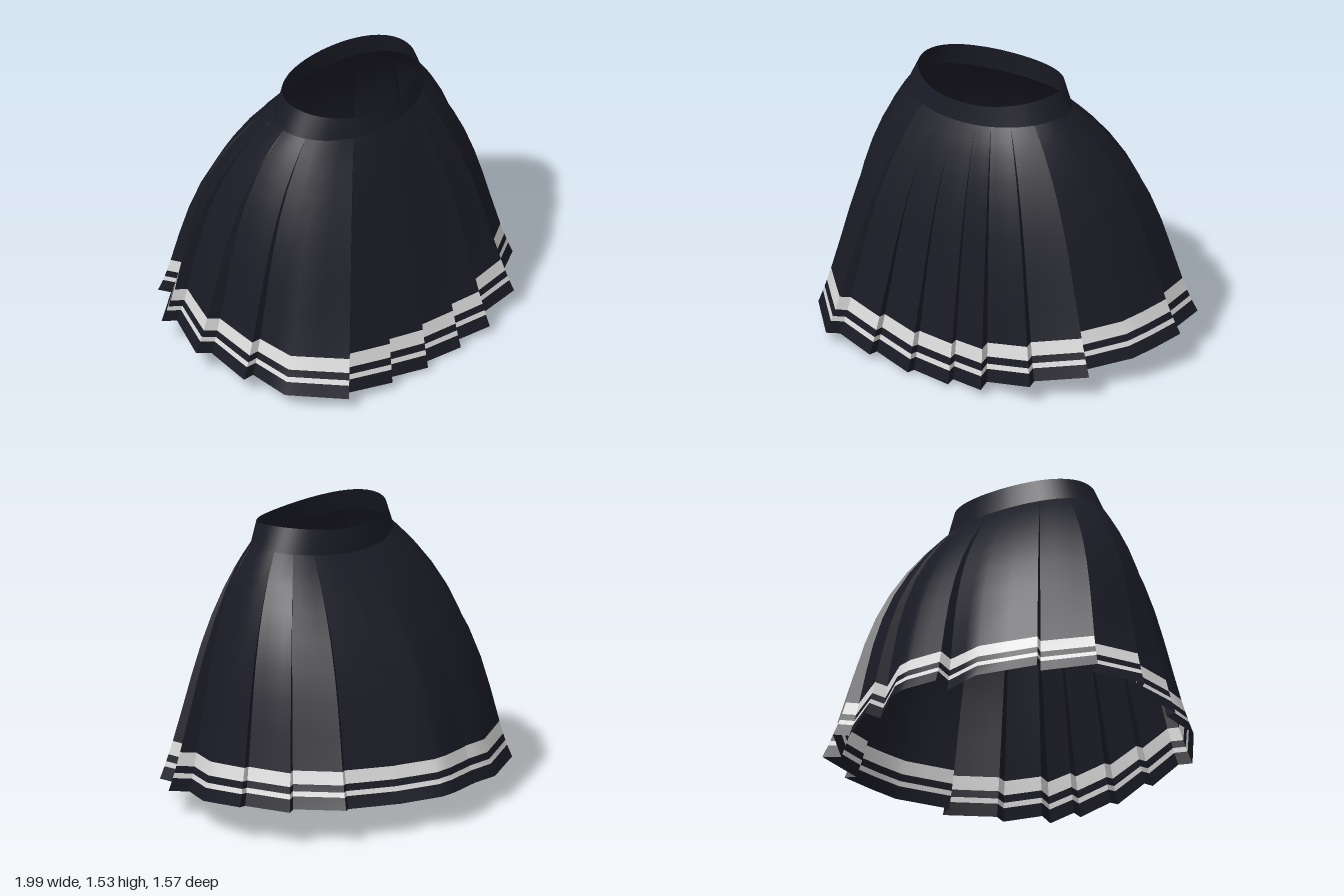
import * as THREE from 'three';

const navy = new THREE.MeshStandardMaterial({ color: 0x1b1b26, side: THREE.DoubleSide });
navy.name = 'navy cloth';
const white = new THREE.MeshStandardMaterial({ color: 0xdedede, side: THREE.DoubleSide });
white.name = 'white trim';

// Hem of each pleat as [x, z, y] points, from its tucked edge to its outer edge
const pleats = [
  [[-0.62, 0.67, 0.065], [-0.38, 0.755, 0.045]],
  [[-0.385, 0.68, 0.03], [-0.13, 0.775, 0.02]],
  [[-0.14, 0.7, 0.0], [0.12, 0.775, 0.02]],
  [[0.1, 0.695, 0.01], [0.33, 0.785, 0.05]],
  [[0.3, 0.68, 0.045], [0.59, 0.715, 0.11]],
  [[0.55, 0.615, 0.09], [0.815, 0.495, 0.135]],
  [[0.72, 0.43, 0.12], [0.9, 0.21, 0.15], [0.95, 0.08, 0.17], [0.995, -0.095, 0.19]],
  [[0.93, -0.08, 0.18], [0.925, -0.365, 0.19]],
  [[0.835, -0.32, 0.18], [0.695, -0.56, 0.18]],
  [[0.62, -0.52, 0.165], [0.375, -0.685, 0.165]],
  [[0.325, -0.625, 0.14], [0.13, -0.77, 0.16], [0.04, -0.785, 0.165], [-0.16, -0.765, 0.165]],
  [[-0.175, -0.69, 0.13], [-0.395, -0.725, 0.14], [-0.71, -0.605, 0.15]],
  [[-0.68, -0.54, 0.15], [-0.93, -0.375, 0.175]],
  [[-0.86, -0.33, 0.165], [-0.995, -0.07, 0.155]],
  [[-0.92, -0.03, 0.135], [-0.955, 0.235, 0.11]],
  [[-0.89, 0.24, 0.11], [-0.89, 0.465, 0.09], [-0.675, 0.72, 0.075]],
];

// Height fractions from the waistband (0) to the hem (1); white rows are the trim
const levels = [0, 0.05, 0.11, 0.2, 0.31, 0.43, 0.56, 0.7, 0.842, 0.898, 0.927, 0.948, 1];
const trimRows = [8, 10];

const mix = (p, q, t) => p.map((n, j) => THREE.MathUtils.lerp(n, q[j], t));
const hemAngle = ([x, z]) => Math.atan2(z / 0.78, x + 0.11);

// Oval seam where the cloth meets the waistband
function seamPoint(a) {
  const c = Math.cos(a);
  return [-0.04 + 0.47 * c, 1.37 + 0.035 * c * c, 0.13 + 0.305 * Math.sin(a)];
}

// Upper edge of the waistband, rising at the hips
function rimPoint(a) {
  const c = Math.cos(a), s = Math.sin(a);
  return [-0.035 + 0.415 * c, 1.488 - 0.012 * s + 0.042 * c * c, 0.13 + 0.29 * s];
}

// Point on the flared cloth above a hem point; the back is the fullest
function clothPoint(hem, v) {
  const [x, z, y] = hem;
  const a = hemAngle(hem), s = Math.sin(a);
  const [tx, ty, tz] = seamPoint(a);
  const fullness = 1.2 - 0.42 * Math.max(s, 0);
  const f = v + fullness * v * Math.pow(1 - v, 2 + 0.5 * Math.min(s, 0));
  return [tx + (x - tx) * f, ty + (y - ty) * v, tz + (z - tz) * f];
}

// Subdivide a hem line into short even pieces
function subdivide(points) {
  const n = points.length > 2 ? 2 : 4;
  const out = [points[0]];
  for (let i = 1; i < points.length; i++)
    for (let k = 1; k <= n; k++) out.push(mix(points[i - 1], points[i], k / n));
  return out;
}

// Grid surface from rows of points, with a material index for each row
function gridGeometry(rows, rowMaterial) {
  const g = new THREE.BufferGeometry();
  const w = rows[0].length, index = [];
  for (let r = 0; r < rows.length - 1; r++) {
    g.addGroup(index.length, (w - 1) * 6, rowMaterial(r));
    for (let i = 0; i < w - 1; i++) {
      const a = r * w + i, b = a + w;
      index.push(a, b, a + 1, a + 1, b, b + 1);
    }
  }
  g.setAttribute('position', new THREE.Float32BufferAttribute(rows.flat(2), 3));
  g.setIndex(index);
  g.computeVertexNormals();
  return g;
}

// Strip of cloth from waistband to hem; hemAt gives its hem line for each level
function panel(name, hemAt) {
  const rows = levels.map(v => hemAt(v).map(p => clothPoint(p, v)));
  const mesh = new THREE.Mesh(gridGeometry(rows, r => (trimRows.includes(r) ? 1 : 0)), [navy, white]);
  mesh.name = name;
  return mesh;
}

export function createModel() {
  const skirt = new THREE.Group();
  skirt.name = 'pleatedSkirt';
  const angles = [];

  // Pleats and the tucked folds between them, which open out towards the hem
  pleats.forEach((hem, i) => {
    const tip = pleats.at(i - 1).at(-1);
    const tuck = v => mix(tip, hem[0], Math.sqrt(v));
    const pleatHem = v => subdivide([tuck(v), ...hem.slice(1)]);
    skirt.add(panel('pleat', pleatHem));
    skirt.add(panel('pleatFold', v => [tip, tuck(v)]));
    angles.push(...pleatHem(0).slice(0, -1).map(hemAngle));
  });

  // Waistband, sharing its lower edge with the pleats
  angles.push(angles[0]);
  const band = new THREE.Mesh(gridGeometry([angles.map(rimPoint), angles.map(seamPoint)], () => 0), [navy]);
  band.name = 'waistband';
  skirt.add(band);

  return skirt;
}
